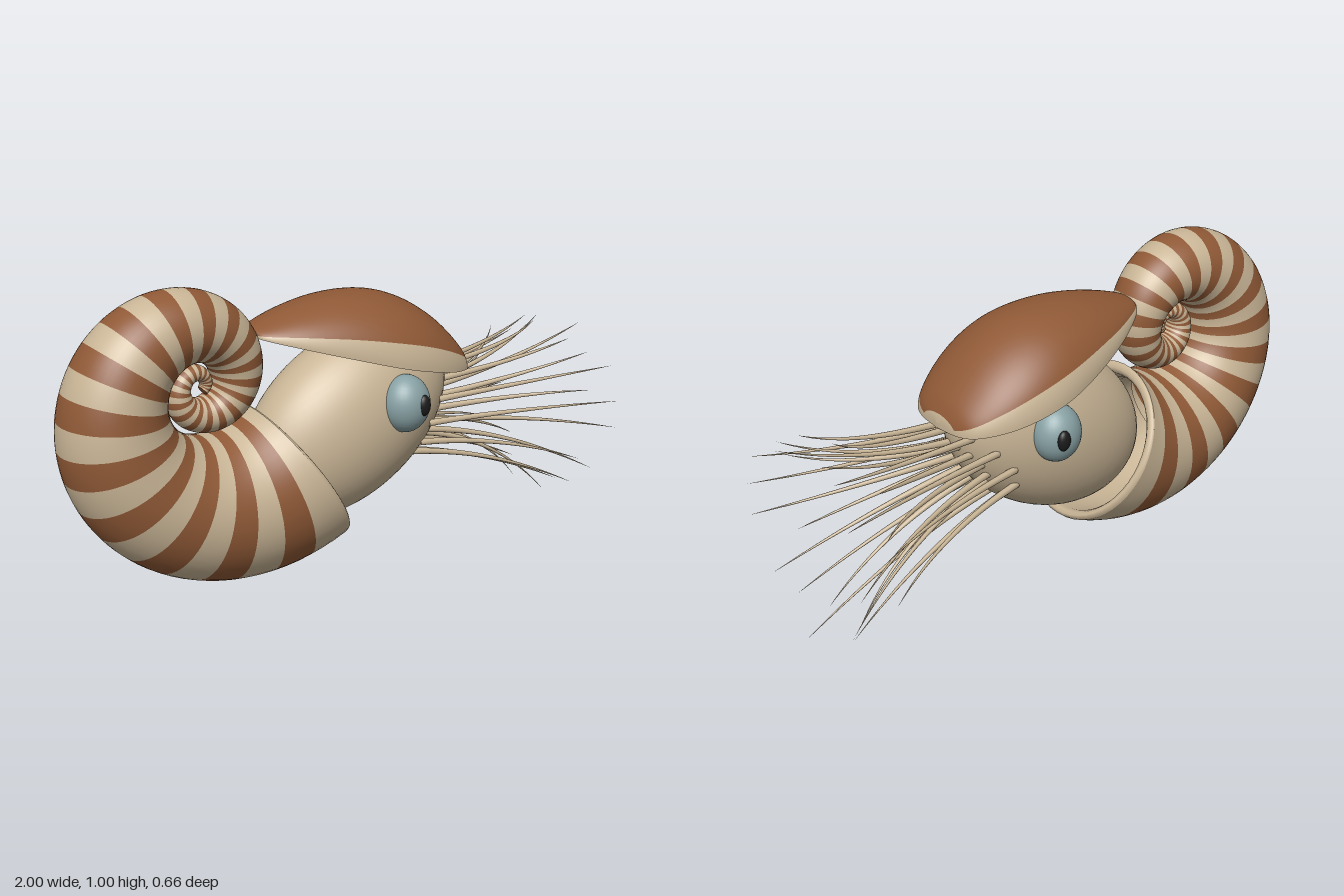
import * as THREE from 'three';
import { mergeVertices } from 'three/addons/utils/BufferGeometryUtils.js';

const mat = (name, color) => {
  const m = new THREE.MeshStandardMaterial({ color, side: THREE.DoubleSide });
  m.name = name;
  return m;
};

// Smooth surface from rows of points; pick(i, j) gives the material index of each quad.
function surface(nu, nv, point, pick = () => 0) {
  const pos = [], lists = [[], []];
  for (let i = 0; i <= nu; i++)
    for (let j = 0; j <= nv; j++) pos.push(...point(i / nu, j / nv));
  for (let i = 0; i < nu; i++)
    for (let j = 0; j < nv; j++) {
      const a = i * (nv + 1) + j, b = a + nv + 1;
      lists[pick(i, j)].push(a, a + 1, b, b, a + 1, b + 1);
    }
  let g = new THREE.BufferGeometry();
  g.setAttribute('position', new THREE.Float32BufferAttribute(pos, 3));
  g.setIndex([...lists[0], ...lists[1]]);
  g = mergeVertices(g, 1e-5);
  g.addGroup(0, lists[0].length, 0);
  g.addGroup(lists[0].length, lists[1].length, 1);
  g.computeVertexNormals();
  return g;
}

// Logarithmic spiral of the shell
const GROWTH = 0.233, END = -0.802, END_R = 0.487, CX = -0.529, CY = 0.685;
function shellPoint(theta, around, scale) {
  const r = END_R * Math.exp(GROWTH * (theta - END));
  const n = theta - Math.atan(GROWTH);
  const out = 0.592 * r * scale * Math.cos(around);
  const side = 0.27 * Math.pow(r / END_R, 0.84) * scale * Math.sin(around);
  return [
    CX + r * Math.cos(theta) + out * Math.cos(n),
    CY + r * Math.sin(theta) + out * Math.sin(n),
    side,
  ];
}

// Body ellipsoid, tilted upward toward the face
const BODY = { x: 0.03, y: 0.475, a: 0.42, b: 0.28, c: 0.215, tilt: 0.545 };
function insideBody(x, y, z) {
  const dx = x - BODY.x, dy = y - BODY.y, c = Math.cos(BODY.tilt), s = Math.sin(BODY.tilt);
  return ((dx * c + dy * s) / BODY.a) ** 2 + ((dy * c - dx * s) / BODY.b) ** 2 + (z / BODY.c) ** 2 < 1;
}

export function createModel() {
  const model = new THREE.Group();
  const cream = mat('cream', 0xc9b596);
  const brown = mat('brown', 0x8f5936);
  const eyeBlue = mat('eyeBlue', 0x88a1a4);
  const black = mat('pupilBlack', 0x1b1b1b);
  const add = (name, geo, material, parent = model) => {
    const m = new THREE.Mesh(geo, material);
    m.name = name;
    parent.add(m);
    return m;
  };

  // Striped coiled shell: two turns, 16 pairs of bands per turn
  const bands = 64, rows = 3;
  add('shell', surface(bands * rows, 48,
    (u, v) => shellPoint(END - (1 - u) * Math.PI * 4, v * Math.PI * 2, u === 0 ? 0 : 1),
    (i) => (Math.floor(i / rows) % 2 ? 0 : 1)), [cream, brown]);

  // Rounded lip and inner wall of the opening: [angle offset, scale]
  const lip = [[0, 1], [0.02, 0.985], [0.03, 0.95], [0.025, 0.91], [0, 0.88],
    [-0.06, 0.87], [-0.3, 0.87], [-0.6, 0.87], [-0.9, 0.87]];
  add('shellLip', surface(lip.length - 1, 48, (u, v) => {
    const [d, s] = lip[Math.round(u * (lip.length - 1))];
    return shellPoint(END + d, v * Math.PI * 2, s);
  }), cream);

  // Body
  const body = add('body', new THREE.SphereGeometry(1, 48, 32), cream);
  body.scale.set(BODY.a, BODY.b, BODY.c);
  body.rotation.z = BODY.tilt;
  body.position.set(BODY.x, BODY.y, 0);

  // Eyes
  for (const side of [1, -1]) {
    const eye = new THREE.Group();
    eye.name = side > 0 ? 'frontEye' : 'backEye';
    const ball = add('eyeball', new THREE.SphereGeometry(1, 32, 20), eyeBlue, eye);
    ball.scale.set(0.085, 0.098, 0.08);
    ball.position.set(0.14, 0.56, side * 0.195);
    const pupil = add('pupil', new THREE.SphereGeometry(1, 20, 14), black, eye);
    pupil.scale.set(0.024, 0.036, 0.018);
    pupil.position.set(0.166, 0.566, side * 0.264);
    model.add(eye);
  }

  // Hood sections: [x, top, rim, half width]
  const sections = [
    [-0.335, 0.835, 0.822, 0], [-0.32, 0.85, 0.818, 0.075], [-0.2, 0.888, 0.785, 0.155],
    [-0.05, 0.914, 0.742, 0.215], [0.1, 0.911, 0.698, 0.25], [0.22, 0.877, 0.667, 0.25],
    [0.33, 0.81, 0.64, 0.22], [0.42, 0.722, 0.622, 0.165], [0.457, 0.665, 0.613, 0.1],
    [0.468, 0.63, 0.61, 0],
  ];
  const curve = (f) => new THREE.CatmullRomCurve3(sections.map(f), false, 'catmullrom', 0.5);
  const topLine = curve((s) => new THREE.Vector3(s[0], s[1], s[3]));
  const rimLine = curve((s) => new THREE.Vector3(s[0], s[2], s[3]));
  const hoodPoint = (rise) => (u, v) => {
    const t = topLine.getPoint(u), r = rimLine.getPoint(u), a = v * Math.PI;
    return [r.x, r.y + (t.y - r.y) * rise * Math.sin(a), Math.max(0, r.z) * Math.cos(a)];
  };
  const hood = new THREE.Group();
  hood.name = 'hood';
  add('hoodTop', surface(54, 48, hoodPoint(1),
    (i, j) => (j < 6 || j >= 42 || i >= 49 ? 0 : 1)), [cream, brown], hood);
  add('hoodUnderside', surface(54, 24, hoodPoint(0.3)), cream, hood);
  model.add(hood);

  // Tentacles: alternating inner and outer bases, spreading to fine tips
  const tentacles = new THREE.Group();
  tentacles.name = 'tentacles';
  const count = 24;
  for (let i = 0; i < count; i++) {
    const a = (i / count) * Math.PI * 2, c = Math.cos(a), s = Math.sin(a);
    const ring = i % 2 ? 0.085 : 0.148;
    const by = 0.45 + ring * s * 0.95, bz = ring * c;
    let bx = 0.5;
    while (!insideBody(bx, by, bz) && bx > 0) bx -= 0.005;
    bx -= 0.01;
    const tx = 0.92 + 0.08 * Math.cos((i - 18) * 2.4);
    const ty = 0.45 + s * (s > 0 ? 0.24 : 0.41), tz = 0.33 * c;
    const path = new THREE.QuadraticBezierCurve3(
      new THREE.Vector3(bx, by, bz),
      new THREE.Vector3(bx + 0.34, by + 0.22 * (ty - by), bz + 0.25 * (tz - bz)),
      new THREE.Vector3(tx, ty, tz));
    add('tentacle', surface(18, 8, (u, v) => {
      const p = path.getPoint(u), r = 0.0125 * (1 - u) ** 0.8, w = v * Math.PI * 2;
      return [p.x, p.y + r * Math.cos(w), p.z + r * Math.sin(w)];
    }), cream, tentacles);
  }
  model.add(tentacles);

  return model;
}
